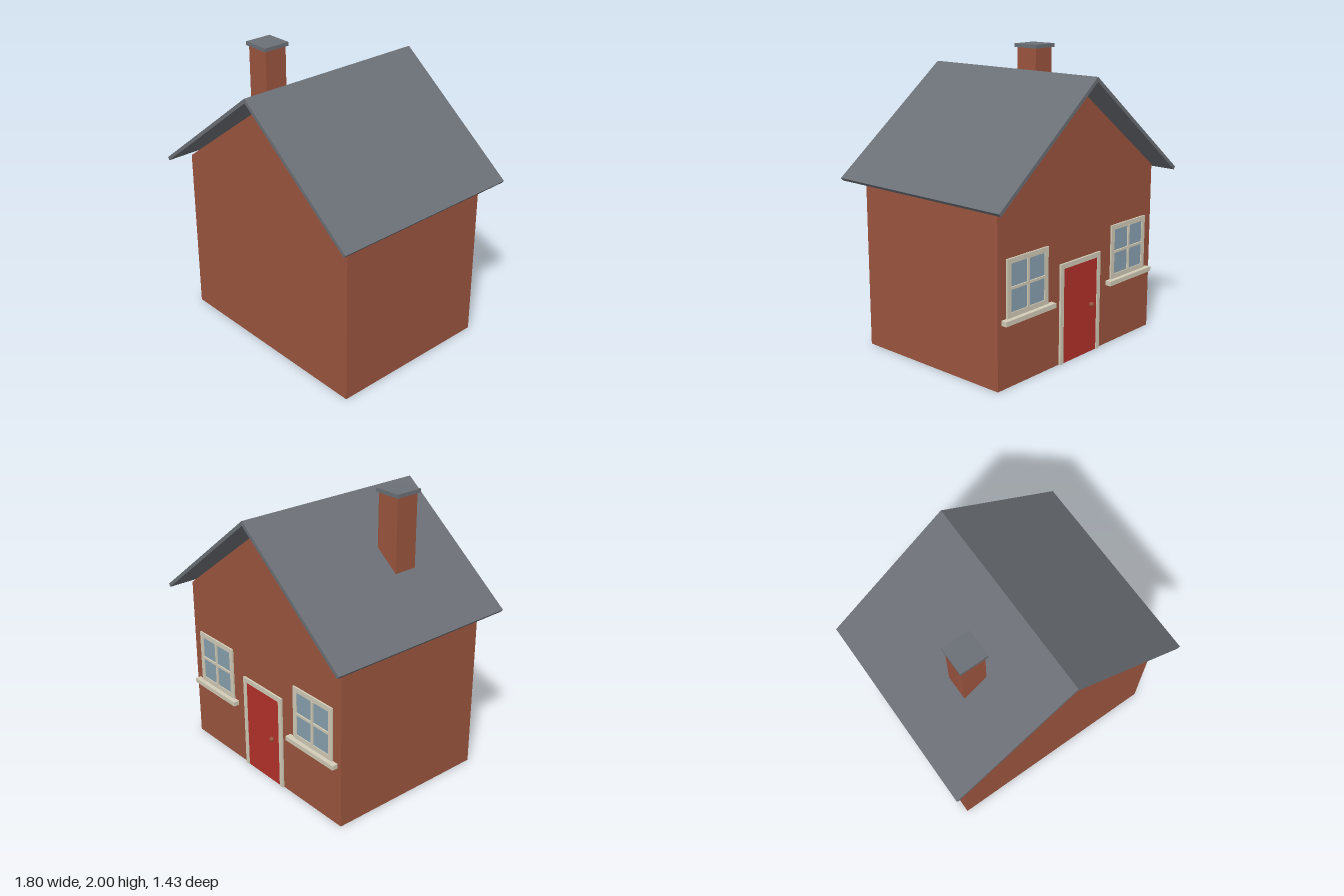
import * as THREE from 'three';

const mat = (name, color) => {
  const m = new THREE.MeshStandardMaterial({ color });
  m.name = name;
  return m;
};

export function createModel() {
  const brick = mat('brick', 0x9c553f);
  const slate = mat('slate', 0x6b7076);
  const trim = mat('trim', 0xd2ccb8);
  const glass = mat('glass', 0x88a2b0);
  const red = mat('doorRed', 0xb5302a);

  const house = new THREE.Group();
  house.name = 'house';

  const W = 0.787, D = 0.594, WALL = 1.186;
  const BACK = -D; // the door and windows are on this wall

  const add = (parent, name, geometry, material, x = 0, y = 0, z = 0) => {
    const mesh = new THREE.Mesh(geometry, material);
    mesh.name = name;
    mesh.position.set(x, y, z);
    parent.add(mesh);
    return mesh;
  };
  const box = (parent, name, w, h, d, material, x, y, z) =>
    add(parent, name, new THREE.BoxGeometry(w, h, d), material, x, y, z);

  // Outline in x and y, extruded evenly about z = 0
  const prism = (points, halfDepth) => {
    const shape = new THREE.Shape(points.map(([x, y]) => new THREE.Vector2(x, y)));
    return new THREE.ExtrudeGeometry(shape, { depth: 2 * halfDepth, bevelEnabled: false })
      .translate(0, 0, -halfDepth);
  };

  // Walls and gable
  box(house, 'walls', 2 * W, WALL, 2 * D, brick, 0, WALL / 2, 0);
  add(house, 'gable', prism([[-W, WALL], [W, WALL], [0, 1.775]], D), brick);

  // Thin roof floating just above the gable
  add(house, 'roof', prism([
    [0, 1.873], [-0.9, 1.169], [-0.885, 1.15], [0, 1.842], [0.885, 1.15], [0.9, 1.169],
  ], 0.715), slate);

  // Chimney
  const chimney = new THREE.Group();
  chimney.name = 'chimney';
  chimney.position.set(-0.432, 0, 0.181);
  box(chimney, 'chimneyStack', 0.17, 0.78, 0.17, brick, 0, 1.585, 0);
  box(chimney, 'chimneyCap', 0.198, 0.026, 0.198, slate, 0, 1.987, 0);
  house.add(chimney);

  // Door with its frame and knob
  const door = new THREE.Group();
  door.name = 'door';
  door.position.z = BACK;
  box(door, 'doorPanel', 0.352, 0.65, 0.008, red, 0, 0.325, -0.004);
  for (const s of [-1, 1]) {
    box(door, 'doorJamb', 0.032, 0.65, 0.014, trim, s * 0.19, 0.325, -0.007);
  }
  box(door, 'doorLintel', 0.412, 0.034, 0.014, trim, 0, 0.667, -0.007);
  add(door, 'doorKnob', new THREE.SphereGeometry(0.017, 16, 12), brick, -0.107, 0.338, -0.021);
  house.add(door);

  // Windows: glass, frame, cross bars and sill
  for (const side of [-1, 1]) {
    const win = new THREE.Group();
    win.name = side > 0 ? 'leftWindow' : 'rightWindow';
    win.position.set(side * 0.52, 0.645, BACK);
    box(win, 'windowGlass', 0.32, 0.32, 0.006, glass, 0, 0, -0.003);
    for (const s of [-1, 1]) {
      box(win, 'frameSide', 0.034, 0.38, 0.012, trim, s * 0.174, 0, -0.006);
      box(win, 'frameRail', 0.314, 0.034, 0.012, trim, 0, s * 0.173, -0.006);
    }
    box(win, 'uprightBar', 0.017, 0.316, 0.016, trim, 0, 0, -0.008);
    box(win, 'crossBar', 0.314, 0.017, 0.015, trim, 0, 0, -0.0075);
    box(win, 'windowSill', 0.468, 0.032, 0.042, trim, 0, -0.205, -0.021);
    house.add(win);
  }

  return house;
}
